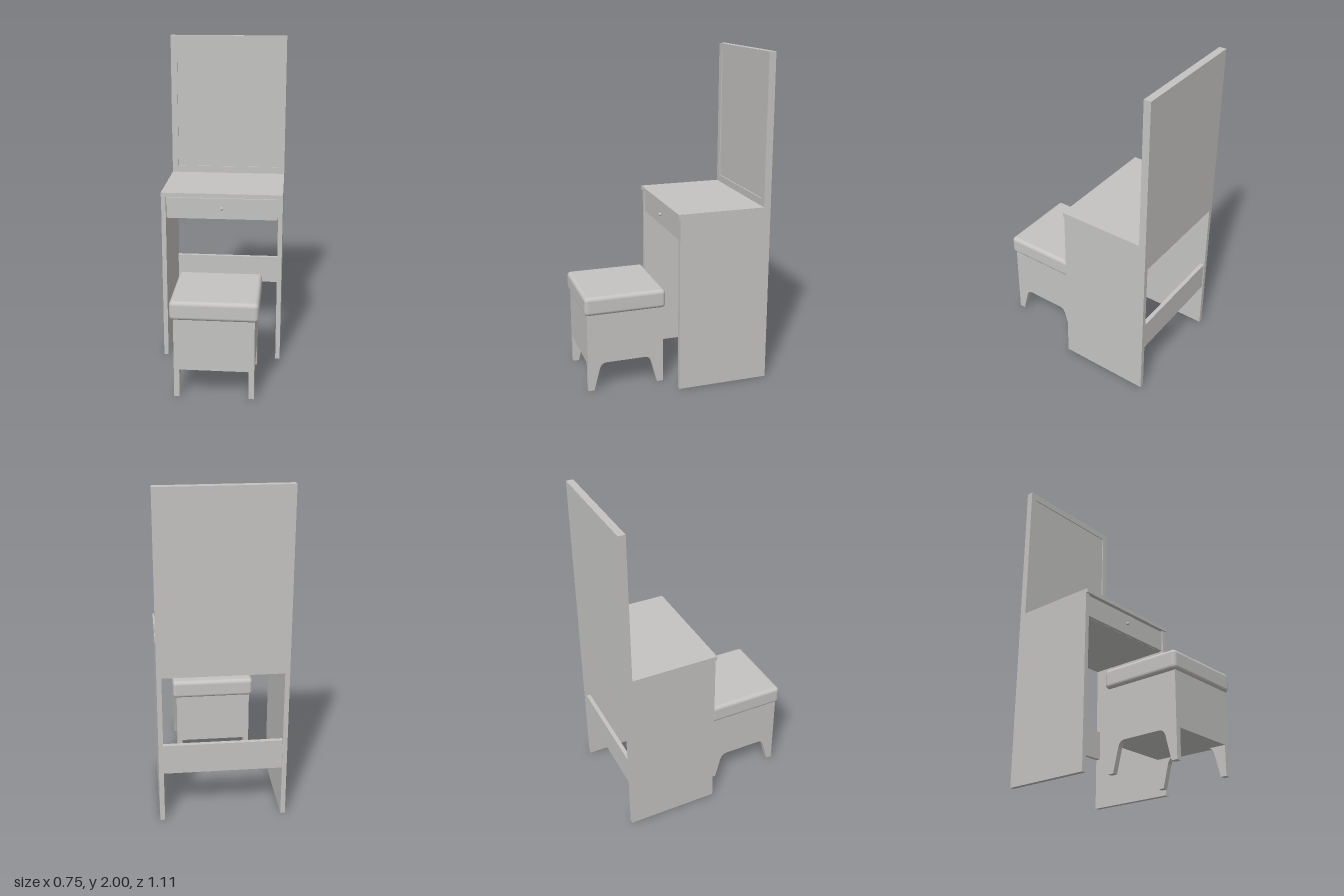
import * as THREE from 'three';
import { RoundedBoxGeometry } from 'three/addons/geometries/RoundedBoxGeometry.js';

const paint = new THREE.MeshStandardMaterial({ color: 0xc4c3c1 });
paint.name = 'pale grey';

function add(parent, name, geometry) {
  const mesh = new THREE.Mesh(geometry, paint);
  mesh.name = name;
  parent.add(mesh);
  return mesh;
}

// Box given by its limits on each axis
function board(parent, name, x0, x1, y0, y1, z0, z1) {
  const mesh = add(parent, name, new THREE.BoxGeometry(x1 - x0, y1 - y0, z1 - z0));
  mesh.position.set((x0 + x1) / 2, (y0 + y1) / 2, (z0 + z1) / 2);
  return mesh;
}

function createTable() {
  const table = new THREE.Group();
  table.name = 'dressingTable';

  // Side panels reach the floor
  board(table, 'leftSidePanel', 0.347, 0.375, 0, 1.07, -0.555, 0.01);
  board(table, 'rightSidePanel', -0.375, -0.347, 0, 1.07, -0.555, 0.01);
  board(table, 'tableTop', -0.375, 0.375, 1.07, 1.096, -0.512, 0.02);

  // Drawer, its case and the low rail at the back
  board(table, 'drawerCase', -0.347, 0.347, 0.93, 1.07, -0.555, -0.015);
  board(table, 'drawerFront', -0.342, 0.342, 0.931, 1.062, -0.015, 0.004);
  board(table, 'backRail', -0.347, 0.347, 0.315, 0.498, -0.55, -0.525);
  const knob = add(table, 'drawerKnob', new THREE.SphereGeometry(0.01, 20, 14));
  knob.position.set(0, 1, 0.011);

  // Tall back with a raised frame around the sunken mirror
  board(table, 'mirrorBack', -0.375, 0.375, 1.07, 2, -0.555, -0.52);
  const frame = new THREE.Shape([
    [-0.375, 1.07], [0.375, 1.07], [0.375, 2], [-0.375, 2],
  ].map(([x, y]) => new THREE.Vector2(x, y)));
  frame.holes.push(new THREE.Path([
    [-0.335, 1.14], [-0.335, 1.955], [0.335, 1.955], [0.335, 1.14],
  ].map(([x, y]) => new THREE.Vector2(x, y))));
  add(table, 'mirrorFrame', new THREE.ExtrudeGeometry(frame, { depth: 0.008, bevelEnabled: false }))
    .position.z = -0.52;
  board(table, 'mirror', -0.335, 0.335, 1.14, 1.955, -0.521, -0.519);
  return table;
}

function createStool() {
  const stool = new THREE.Group();
  stool.name = 'stool';
  stool.position.z = 0.305;

  // Side panel with two tapering legs and a rounded cutout
  const side = new THREE.Shape();
  side.moveTo(-0.235, 0);
  side.lineTo(-0.198, 0);
  side.lineTo(-0.163, 0.135);
  side.quadraticCurveTo(-0.152, 0.174, -0.118, 0.174);
  side.lineTo(0.118, 0.174);
  side.quadraticCurveTo(0.152, 0.174, 0.163, 0.135);
  side.lineTo(0.198, 0);
  side.lineTo(0.235, 0);
  side.lineTo(0.235, 0.495);
  side.lineTo(-0.235, 0.495);
  const sideGeometry = new THREE.ExtrudeGeometry(side, { depth: 0.032, bevelEnabled: false, curveSegments: 10 });
  sideGeometry.translate(0, 0, -0.016).rotateY(-Math.PI / 2);
  for (const [name, x] of [['leftStoolSide', 0.219], ['rightStoolSide', -0.219]]) {
    add(stool, name, sideGeometry).position.x = x;
  }

  board(stool, 'stoolBox', -0.203, 0.203, 0.174, 0.495, -0.235, 0.235);
  add(stool, 'seatCushion', new RoundedBoxGeometry(0.514, 0.115, 0.498, 6, 0.024)).position.y = 0.545;
  return stool;
}

export function createModel() {
  const model = new THREE.Group();
  model.name = 'vanitySet';
  model.add(createTable(), createStool());
  return model;
}
